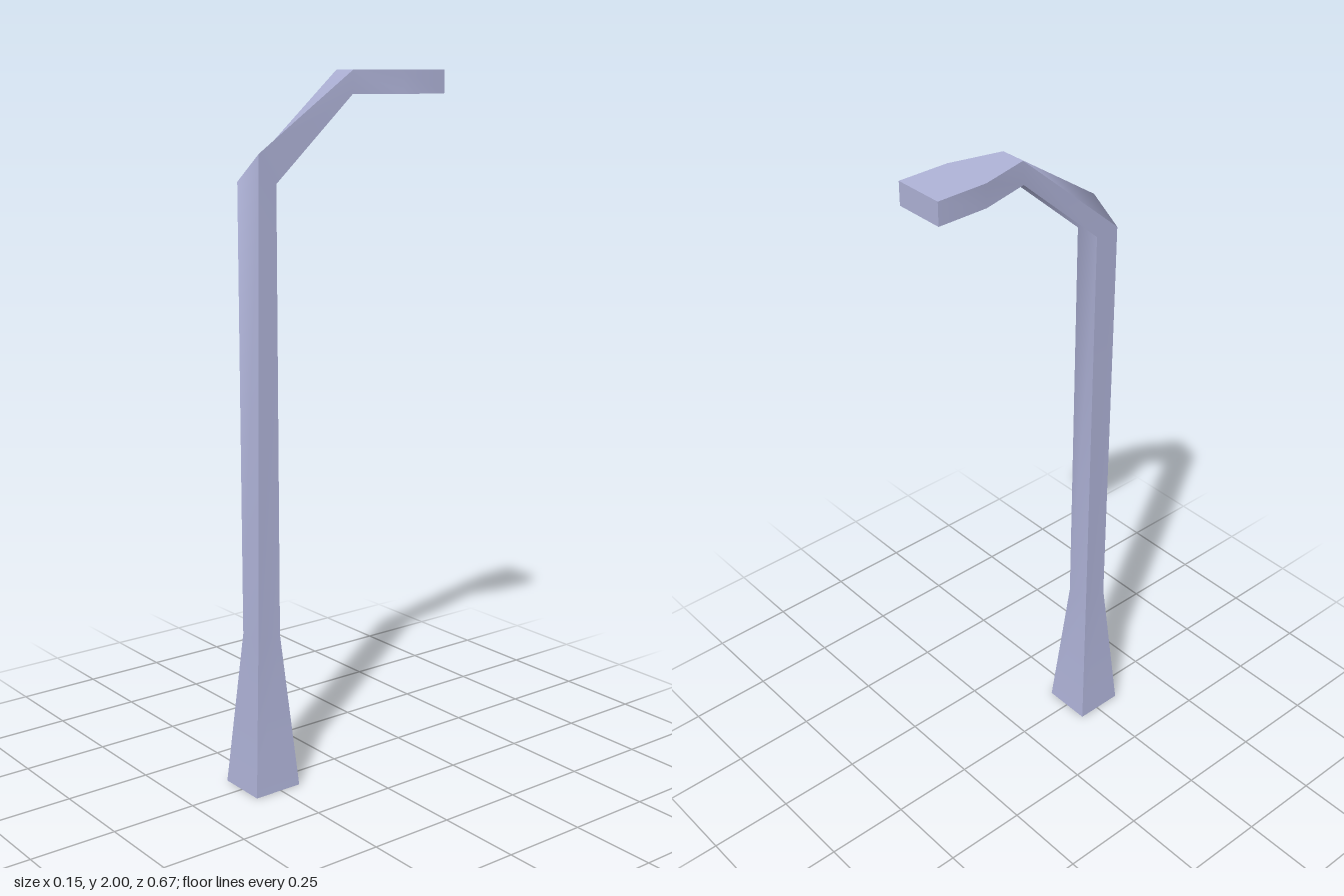
import * as THREE from 'three';

// Cross-sections from the foot to the lamp tip:
// [half width, outer z, outer y, inner z, inner y]
const sections = [
  [0.074, 0.333, 0, 0.185, 0],
  [0.037, 0.296, 0.45, 0.222, 0.45],
  [0.037, 0.296, 1.71, 0.222, 1.705],
  [0.037, -0.037, 2, -0.035, 1.935],
  [0.074, -0.185, 2, -0.185, 1.935],
  [0.074, -0.333, 2, -0.333, 1.935],
];

// Corners of one section: outer -x, outer +x, inner +x, inner -x
function ring([w, oz, oy, iz, iy], i) {
  const r = [[-w, oy, oz], [w, oy, oz], [w, iy, iz], [-w, iy, iz]];
  if (i === 2) r[1] = [w, 1.785, 0.278]; // skewed crease at the bend
  return r;
}

// Smooth strip of quads between two lines of points
function strip(a, b) {
  const pos = [], index = [];
  a.forEach((p, i) => {
    pos.push(...p, ...b[i]);
    if (i) {
      const k = 2 * (i - 1);
      index.push(k, k + 1, k + 3, k, k + 3, k + 2);
    }
  });
  const g = new THREE.BufferGeometry();
  g.setAttribute('position', new THREE.Float32BufferAttribute(pos, 3));
  g.setIndex(index);
  g.computeVertexNormals();
  return g;
}

// Let the flat lamp head set the shading where the arm joins it
function levelJoint(g, y) {
  for (const i of [6, 7]) g.attributes.normal.setXYZ(i, 0, y, 0);
  return g;
}

export function createModel() {
  const group = new THREE.Group();
  const metal = new THREE.MeshStandardMaterial({ name: 'blue grey metal', color: 0xafb3d8 });
  const glow = new THREE.MeshStandardMaterial({ name: 'warm white lamp', color: 0xfff6e2 });
  const add = (name, geometry, material) => {
    const mesh = new THREE.Mesh(geometry, material);
    mesh.name = name;
    group.add(mesh);
  };

  const rings = sections.map(ring);
  const line = (c, from = 0, to = 6) => rings.slice(from, to).map((r) => r[c]);

  // Four sides of post, arm and lamp head, sharp along their shared edges
  add('outerSide', levelJoint(strip(line(0), line(1)), 1), metal);
  add('leftSide', strip(line(1), line(2)), metal);
  add('innerSide', levelJoint(strip(line(2, 0, 4), line(3, 0, 4)), -1), metal);
  add('rightSide', strip(line(3), line(0)), metal);

  // Light panel under the head
  add('lampPanel', strip(line(2, 3), line(3, 3)), glow);

  // Closed ends
  const [foot, tip] = [rings[0], rings[5]];
  add('footBottom', strip([foot[3], foot[0]], [foot[2], foot[1]]), metal);
  add('headEnd', strip([tip[0], tip[3]], [tip[1], tip[2]]), metal);

  return group;
}
